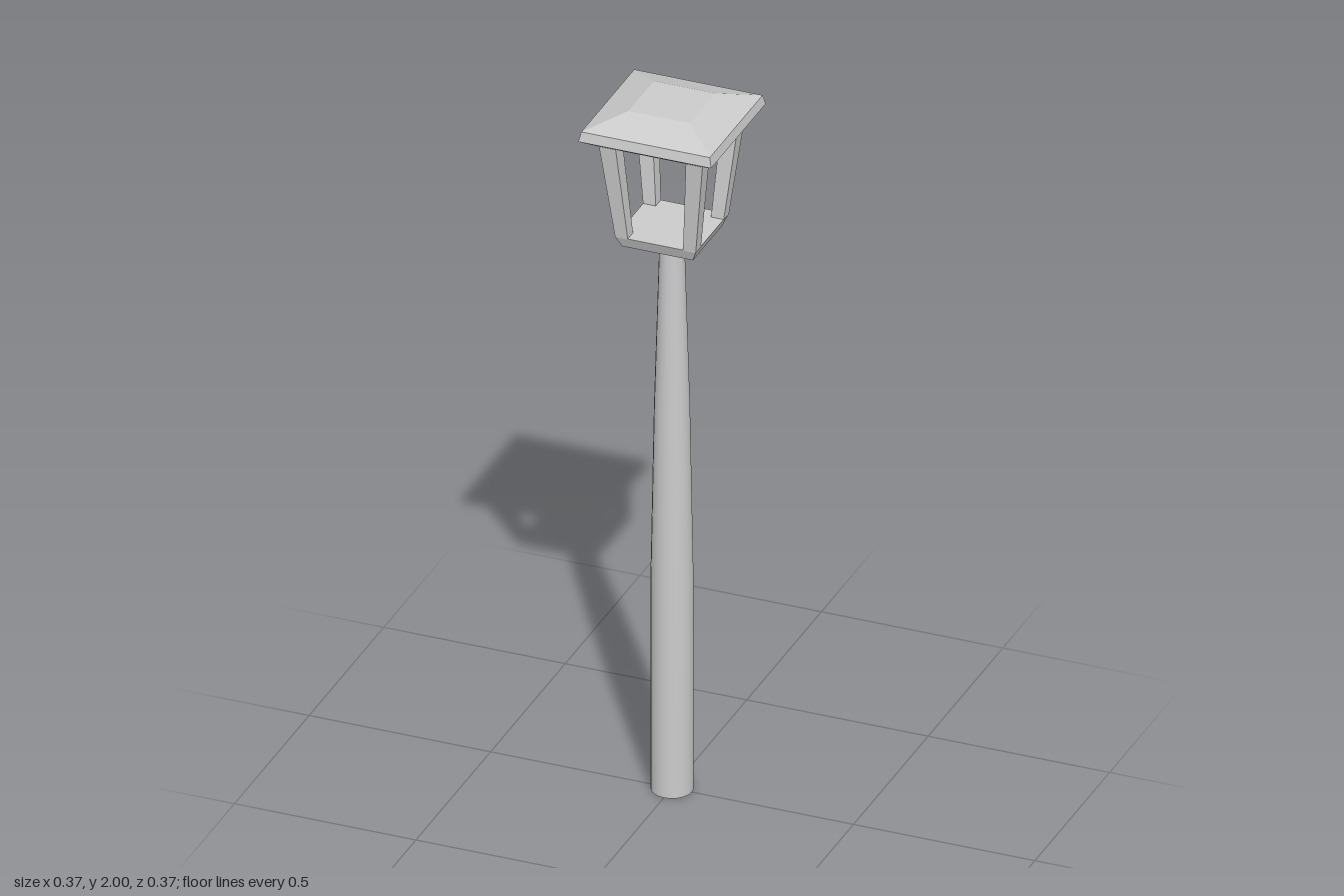
import * as THREE from 'three';

const flat = new THREE.MeshStandardMaterial({ color: 0xcccccc, flatShading: true });
const smooth = new THREE.MeshStandardMaterial({ color: 0xcccccc, side: THREE.DoubleSide });

const toPoints = (profile) => profile.map(([r, y]) => new THREE.Vector2(r, y));

// Square solid from [half width, height] pairs, listed bottom to top
function squareLathe(name, profile) {
  const points = toPoints(profile.map(([h, y]) => [h * Math.SQRT2, y]));
  const mesh = new THREE.Mesh(new THREE.LatheGeometry(points, 4, Math.PI / 4), flat);
  mesh.name = name;
  return mesh;
}

// Tapered, leaning corner bar; each end gives its inner and outer edge
function cornerPost(bottom, top) {
  const geometry = new THREE.BoxGeometry(1, 1, 1);
  const p = geometry.attributes.position;
  for (let i = 0; i < p.count; i++) {
    const end = p.getY(i) > 0 ? top : bottom;
    const place = (v) => (v > 0 ? end.outer : end.inner);
    p.setXYZ(i, place(p.getX(i)), end.y, place(p.getZ(i)));
  }
  geometry.computeVertexNormals();
  return geometry;
}

export function createModel() {
  const model = new THREE.Group();
  model.name = 'lampPost';

  // Open round pole: straight below, tapering above
  const poleProfile = toPoints([[0.055, 0], [0.055, 0.62], [0.046, 1.12], [0.032, 1.6]]);
  const pole = new THREE.Mesh(new THREE.LatheGeometry(poleProfile, 20), smooth);
  pole.name = 'pole';
  model.add(pole);

  // Lantern tray with a bevelled underside
  model.add(squareLathe('lanternTray',
    [[0, 1.594], [0.068, 1.594], [0.098, 1.61], [0.111, 1.642], [0, 1.642]]));

  // Four corner posts, flaring outward
  const posts = new THREE.Group();
  posts.name = 'lanternPosts';
  const postGeometry = cornerPost(
    { inner: 0.076, outer: 0.111, y: 1.64 },
    { inner: 0.097, outer: 0.143, y: 1.918 });
  for (let i = 0; i < 4; i++) {
    const post = new THREE.Mesh(postGeometry, flat);
    post.name = 'lanternPost';
    post.rotation.y = i * Math.PI / 2;
    posts.add(post);
  }
  model.add(posts);

  // Hipped roof with a flat top and a sloping rim
  model.add(squareLathe('roof',
    [[0, 1.914], [0.143, 1.914], [0.183, 1.94], [0.177, 1.967], [0.085, 2], [0, 2]]));

  return model;
}
